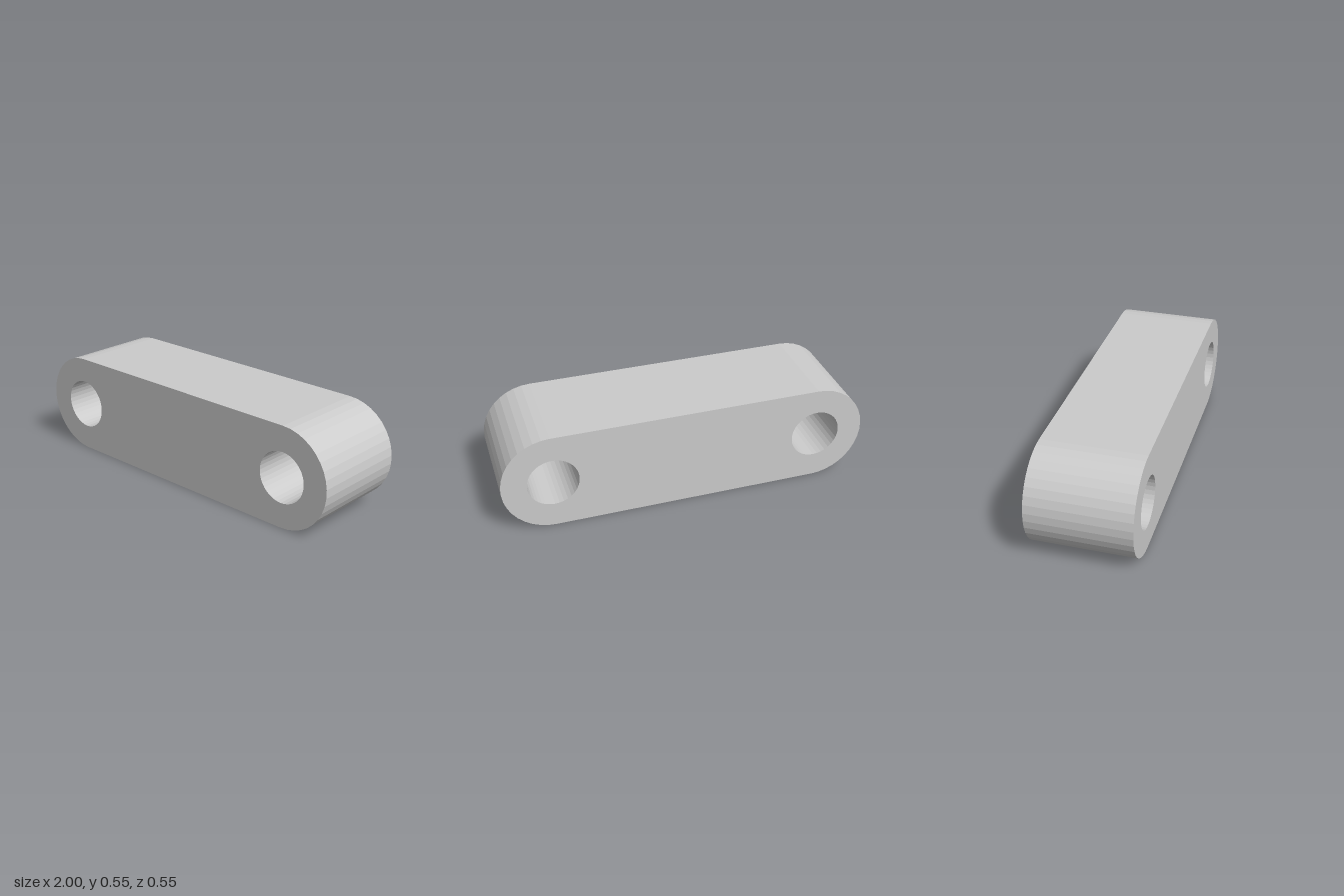
import * as THREE from 'three';

const R = 0.2725, HOLE_R = 0.137, DEPTH = 0.545;
const CX = 1 - R; // distance of each eye from the middle

// Points along an arc centred on (cx, R)
function arc(cx, r, start, sweep, segments, count = segments + 1) {
  return Array.from({ length: count }, (_, i) => {
    const a = start + (sweep * i) / segments;
    return new THREE.Vector2(cx + r * Math.cos(a), R + r * Math.sin(a));
  });
}

export function createModel() {
  const group = new THREE.Group();
  group.name = 'linkBar';

  // Stadium outline: two faceted half-round ends joined by straight edges
  const outline = new THREE.Shape([
    ...arc(CX, R, -Math.PI / 2, Math.PI, 19),
    ...arc(-CX, R, Math.PI / 2, Math.PI, 19),
  ]);

  // Round pin hole through each end
  for (const side of [-1, 1]) {
    outline.holes.push(new THREE.Path(arc(side * CX, HOLE_R, 0, -Math.PI * 2, 36, 36)));
  }

  const geometry = new THREE.ExtrudeGeometry(outline, { depth: DEPTH, bevelEnabled: false });
  geometry.translate(0, 0, -DEPTH / 2);

  const link = new THREE.Mesh(
    geometry,
    new THREE.MeshStandardMaterial({ color: 0xcccccc, flatShading: true })
  );
  link.name = 'linkBody';
  group.add(link);
  return group;
}
